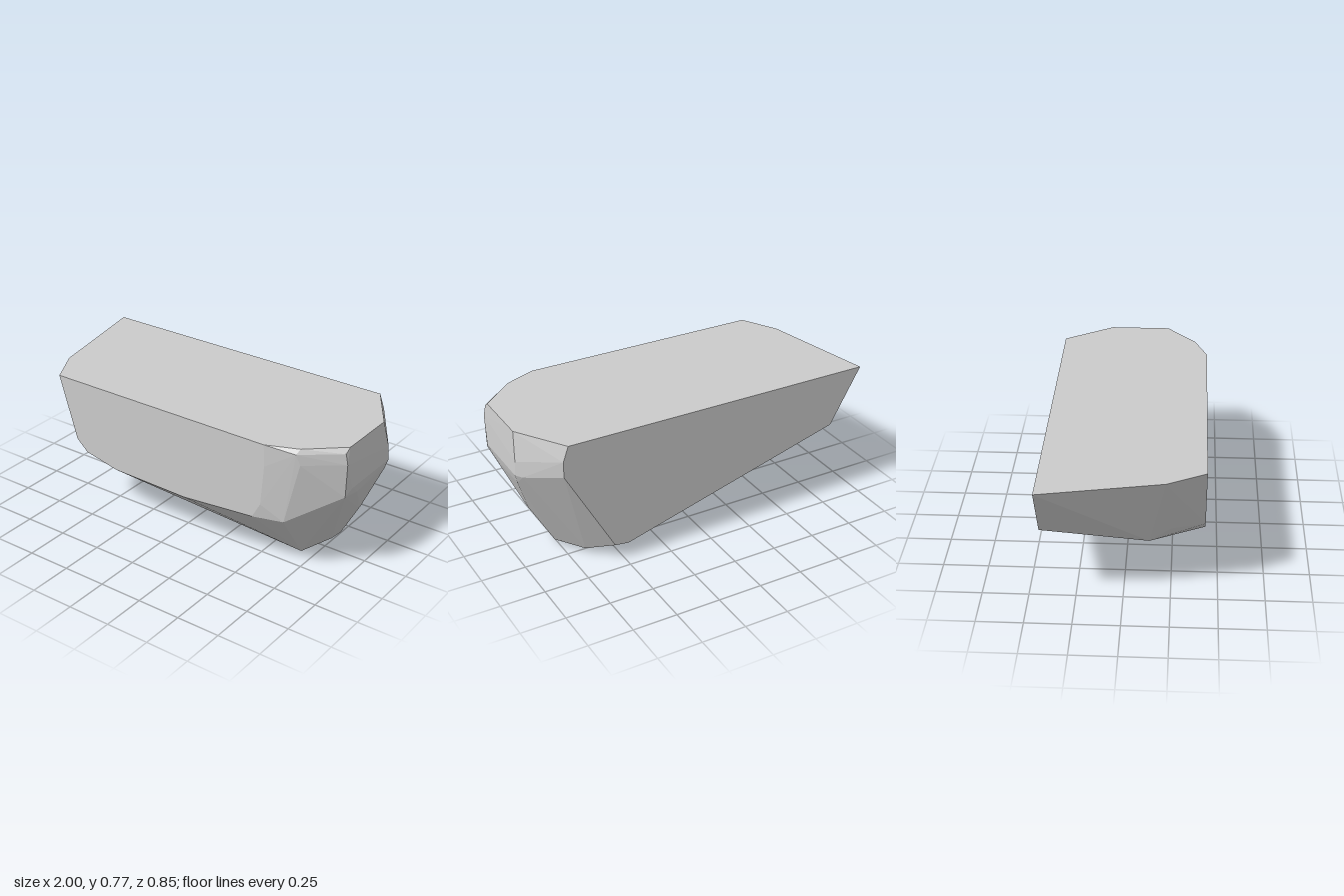
import * as THREE from 'three';
import { ConvexGeometry } from 'three/addons/geometries/ConvexGeometry.js';

const TOP = 0.775, DEPTH = 0.425;

export function createModel() {
  const group = new THREE.Group();
  group.name = 'facetedBlock';
  const v = (x, y, z) => new THREE.Vector3(x, y, z);

  // flat top outline (x, z)
  const top = [
    [-1, -DEPTH], [-0.87, 0.22], [-0.76, DEPTH], [0.615, DEPTH], [0.79, 0.355],
    [0.98, 0.19], [0.98, -0.15], [0.8, -DEPTH],
  ].map(([x, z]) => v(x, TOP, z));

  // flat front wall, lower outline (x, y)
  const front = [
    [-0.65, 0.41], [-0.58, 0.345], [-0.37, 0.3], [0.1, 0.29], [0.55, 0.33],
    [0.6, 0.42], [0.62, 0.65],
  ].map(([x, y]) => v(x, y, DEPTH));

  // flat back wall, lower outline (x, y)
  const back = [
    [-0.82, 0.455], [0.47, 0.085], [0.55, 0.095], [0.83, 0.6], [0.83, 0.69],
  ].map(([x, y]) => v(x, y, -DEPTH));

  // sloping underside and its lowest tip
  const underside = [
    [-0.72, 0.34, 0.135], [-0.72, 0.42, 0.25], [-0.37, 0.21, 0.27],
    [0.7, 0.035, 0.165], [0.74, 0.1, 0.165], [0.71, 0.003, -0.05],
    [0.7, 0, -0.12], [0.76, 0.028, -0.05], [0.77, 0.03, -0.13],
    [0.76, 0.04, -0.16], [0.66, 0.025, -0.28],
  ].map((p) => v(...p));

  // bulging rounded end
  const end = [
    [0.72, 0.335, 0.385], [0.78, 0.75, 0.38], [0.8, 0.69, 0.37],
    [0.985, 0.5, 0.225], [0.99, 0.69, 0.225], [0.978, 0.75, 0.225],
    [1, 0.54, 0.18], [0.985, 0.478, 0.1], [0.9, 0.26, -0.08], [0.9, 0.26, -0.1],
    [0.9, 0.33, -0.18], [0.985, 0.487, -0.18], [1, 0.54, -0.19],
    [0.995, 0.62, -0.19], [0.975, 0.54, -0.23],
  ].map((p) => v(...p));

  // one closed convex body with flat facets
  const body = new THREE.Mesh(
    new ConvexGeometry([...top, ...front, ...back, ...underside, ...end]),
    new THREE.MeshStandardMaterial({ color: 0xcccccc, flatShading: true })
  );
  body.name = 'body';
  group.add(body);
  return group;
}
